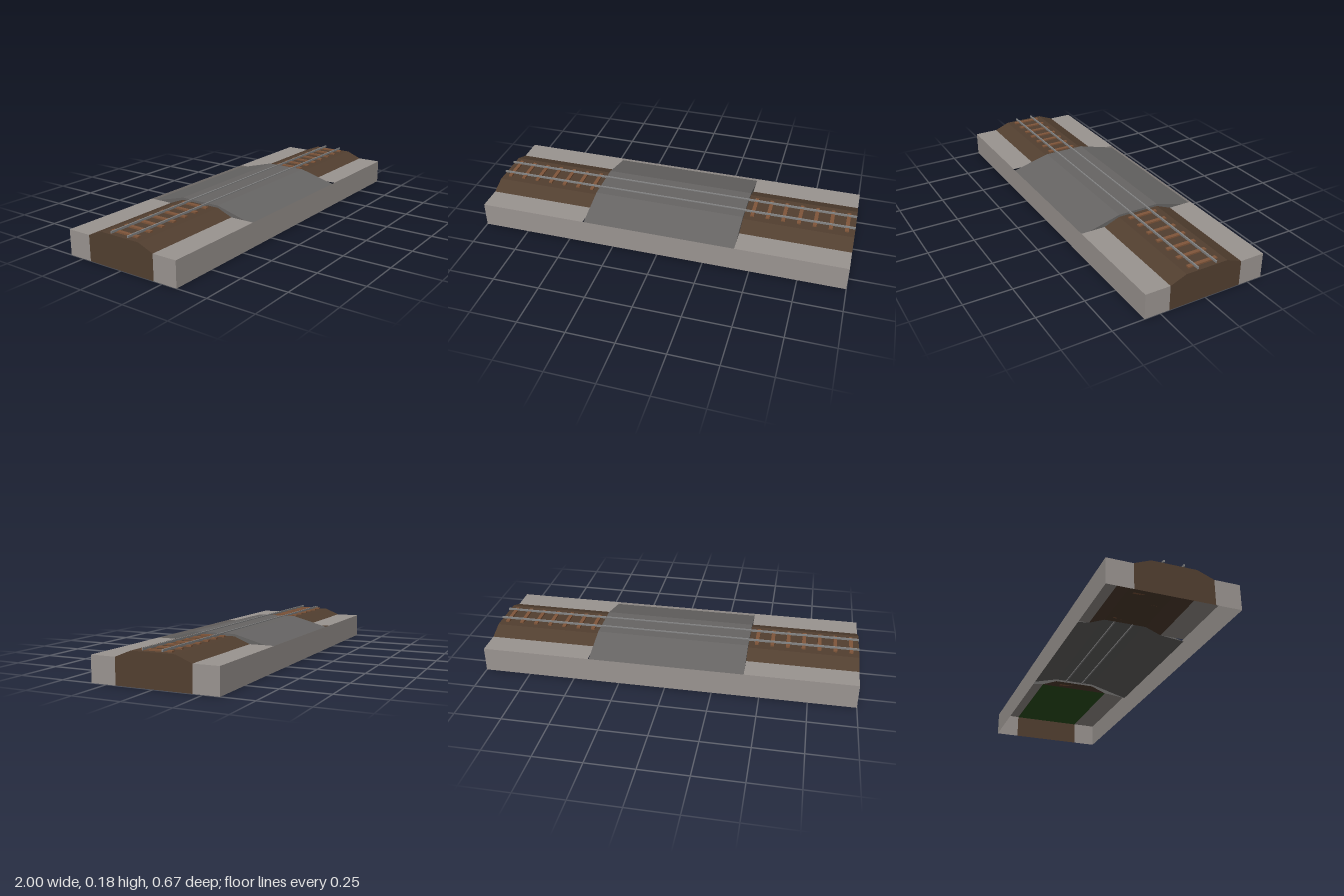
import * as THREE from 'three';

const paint = (color) => new THREE.MeshStandardMaterial({ color, side: THREE.DoubleSide, flatShading: true });

// Sheet swept along x through a [z, y] profile running from +z to -z
function sheet(profile, x0, x1) {
  const pos = [];
  for (let i = 0; i < profile.length - 1; i++) {
    const [za, ya] = profile[i], [zb, yb] = profile[i + 1];
    pos.push(x0, ya, za, x1, ya, za, x1, yb, zb);
    pos.push(x0, ya, za, x1, yb, zb, x0, yb, zb);
  }
  const g = new THREE.BufferGeometry();
  g.setAttribute('position', new THREE.Float32BufferAttribute(pos, 3));
  g.computeVertexNormals();
  return g;
}

// Flat panel in the plane x = const, outlined by [z, y] points
function panel(outline, x) {
  const shape = new THREE.Shape(outline.map(([z, y]) => new THREE.Vector2(-z, y)));
  const g = new THREE.ShapeGeometry(shape);
  g.rotateY((x > 0 ? 1 : -1) * Math.PI / 2); // all outlines are symmetric in z or mirrored in pairs
  return g.translate(x, 0, 0);
}

export function createModel() {
  const model = new THREE.Group();
  const concrete = paint(0x9a9490), asphalt = paint(0x676564), earth = paint(0x523f30);
  const wood = paint(0x80563a), steel = paint(0x858585), grass = paint(0x2c5420);
  const add = (name, geometry, material) => {
    const mesh = new THREE.Mesh(geometry, material);
    mesh.name = name;
    model.add(mesh);
    return mesh;
  };

  const W = 0.333, H = 0.133, D = 0.415, B = 0.2;
  const bank = [[B, H], [0.115, 0.167], [-0.115, 0.167], [-B, H]];

  // Long side walls of the hollow base
  add('frontWall', sheet([[W, 0], [W, H]], -1, 1), concrete);
  add('backWall', sheet([[-W, H], [-W, 0]], -1, 1), concrete);

  for (const s of [-1, 1]) {
    const x0 = s < 0 ? -1 : D, x1 = s < 0 ? -D : 1;

    // Ledges beside the track, with their end walls
    add('frontLedge', sheet([[W, H], [B, H]], x0, x1), concrete);
    add('backLedge', sheet([[-B, H], [-W, H]], x0, x1), concrete);
    for (const t of [-1, 1]) {
      add('endWall', panel([[t * B, 0], [t * W, 0], [t * W, H], [t * B, H]], s), concrete);
    }

    // Earth embankment and its end face
    add('embankment', sheet(bank, x0, x1), earth);
    add('embankmentEnd', panel([[B, 0], ...bank, [-B, 0]], s), earth);

    // End face of the raised road
    add('roadEnd', panel([[W, 0.12], [0.115, 0.179], [-0.115, 0.179], [-W, 0.12],
      ...bank.slice().reverse()], s * D), asphalt);

    // Sleepers
    for (let i = 0; i < 7; i++) {
      const sleeper = add('sleeper', new THREE.BoxGeometry(0.02, 0.008, 0.163), wood);
      sleeper.position.set(s * (0.458 + i * 0.0833), 0.171, 0);
    }

    // Rail
    const rail = add('rail', new THREE.BoxGeometry(2, 0.011, 0.007), steel);
    rail.position.set(0, 0.1785, s * 0.051);
  }

  // Grass sheet closing one embankment from below
  add('grassBase', sheet([[B, H - 0.001], [-B, H - 0.001]], D, 1), grass);

  // Raised road surface, split by the two rail slots
  add('frontRoad', sheet([[W, 0.12], [0.115, 0.179], [0.055, 0.179]], -D, D), asphalt);
  add('middleRoad', sheet([[0.047, 0.179], [-0.047, 0.179]], -D, D), asphalt);
  add('backRoad', sheet([[-0.055, 0.179], [-0.115, 0.179], [-W, 0.12]], -D, D), asphalt);

  return model;
}
